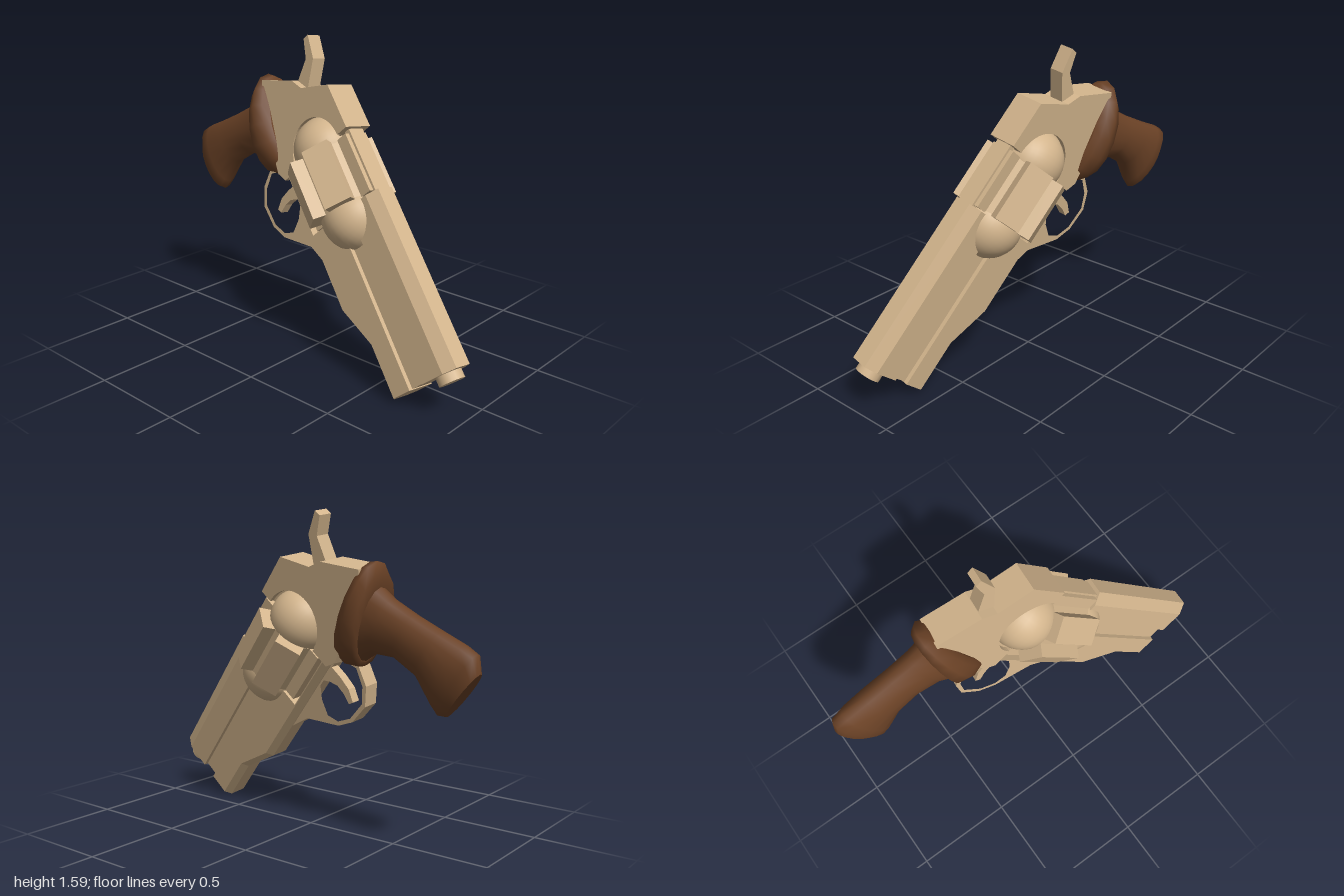
import * as THREE from 'three';

const metal = new THREE.MeshStandardMaterial({ color: 0xd2b48c });
metal.name = 'tan metal';
const wood = new THREE.MeshStandardMaterial({ color: 0x6b4226 });
wood.name = 'brown wood';

// Local frame: x across, y up, z along the barrel.
// Converts tilted side coordinates (z, y) to local [along, up].
const at = (z, y) => [0.657 * z - 0.772 * y, 0.648 * y + 0.762 * z];

// Skin over a list of rings ordered back to front, with end caps.
function loft(rings, flat) {
  const n = rings[0].length, pos = [], idx = [];
  rings.forEach(r => r.forEach(p => pos.push(...p)));
  for (let k = 0; k < rings.length - 1; k++) {
    for (let i = 0; i < n; i++) {
      const a = k * n + i, b = k * n + (i + 1) % n;
      idx.push(a, b, b + n, a, b + n, a + n);
    }
  }
  [[rings[0], true], [rings[rings.length - 1], false]].forEach(([ring, back]) => {
    const start = pos.length / 3;
    ring.forEach(p => pos.push(...p));
    for (let i = 1; i < n - 1; i++) {
      if (back) idx.push(start, start + i + 1, start + i);
      else idx.push(start, start + i, start + i + 1);
    }
  });
  let g = new THREE.BufferGeometry();
  g.setAttribute('position', new THREE.Float32BufferAttribute(pos, 3));
  g.setIndex(idx);
  if (flat) g = g.toNonIndexed();
  g.computeVertexNormals();
  return g;
}

const shapeOf = pts => new THREE.Shape(pts.map(p => new THREE.Vector2(p[0], p[1])));

// Side profile [along, up] extruded across the model.
function slab(shape, width) {
  const g = new THREE.ExtrudeGeometry(shape, { depth: width, bevelEnabled: false, curveSegments: 16 });
  g.translate(0, 0, -width / 2);
  g.rotateY(-Math.PI / 2);
  return g;
}

export function createModel() {
  const model = new THREE.Group();
  model.name = 'revolver';
  const body = new THREE.Group();
  body.name = 'tiltedBody';
  model.add(body);

  const add = (name, geometry, material = metal) => {
    const mesh = new THREE.Mesh(geometry, material);
    mesh.name = name;
    body.add(mesh);
    return mesh;
  };
  const box = (name, w, y0, y1, z0, z1) =>
    add(name, new THREE.BoxGeometry(w, y1 - y0, z1 - z0)
      .translate(0, (y0 + y1) / 2, (z0 + z1) / 2));

  // Barrel with chamfered top
  const W = 0.077, N = 0.045;
  const barrelRing = z => [
    [W, 0.747, z], [W, 0.885, z], [N, 0.947, z], [-N, 0.947, z], [-W, 0.885, z], [-W, 0.747, z]];
  add('barrel', loft([barrelRing(-0.455), barrelRing(0.424)], true));
  box('barrelGroove', 0.11, 0.65, 0.76, -0.455, 0.42);
  add('muzzle', new THREE.CylinderGeometry(0.062, 0.062, 0.1, 16)
    .rotateX(Math.PI / 2).translate(0, 0.85, 0.416));

  // Underlug and lower rail: along, bottom, top
  const railRing = ([z, b, t]) => [
    [N, b, z], [W, b + 0.03, z], [W, t, z], [-W, t, z], [-W, b + 0.03, z], [-N, b, z]];
  add('underlug', loft([
    [-0.83, 0.42, 0.455], [-0.455, 0.42, 0.455], [-0.455, 0.42, 0.66], [-0.057, 0.42, 0.66],
    [0.158, 0.515, 0.66], [0.424, 0.515, 0.66]].map(railRing), true));

  // Rear frame with a round recess behind the cylinder
  const frame = shapeOf([[-0.785, 0.947], [-1.02, 0.945], [-1.11, 0.775], [-1.18, 0.735],
    [-1.31, 0.54], [-1.2, 0.46], [-0.84, 0.39], [-0.785, 0.42]]);
  frame.lineTo(-0.785, 0.525);
  frame.absarc(-0.785, 0.7, 0.175, -Math.PI / 2, -Math.PI * 1.5, true);
  add('rearFrame', slab(frame, 0.16));
  box('recessPlate', 0.11, 0.51, 0.89, -0.98, -0.785);
  box('topStrap', 0.09, 0.895, 0.927, -0.8, -0.44);

  // Cylinder with six square lobes
  const lobes = [];
  for (let i = 0; i < 6; i++) {
    const a = Math.PI / 6 + i * Math.PI / 3, c = Math.cos(a), s = Math.sin(a);
    [[0.15, -0.068], [0.215, -0.068], [0.215, 0.068], [0.15, 0.068]].forEach(([r, w]) =>
      lobes.push([r * c - w * s, r * s + w * c]));
  }
  add('flutedCylinder', new THREE.ExtrudeGeometry(shapeOf(lobes), { depth: 0.305, bevelEnabled: false })
    .translate(0, 0.7, -0.768));

  // Round bulges in front of and behind the cylinder
  [['frontBulge', -0.43], ['rearBulge', -0.8]].forEach(([name, z]) =>
    add(name, new THREE.SphereGeometry(0.168, 32, 20).translate(0, 0.702, z)));

  // Trigger guard and trigger
  const guard = shapeOf([[-0.311, 0.44], [-0.311, 0.42], [-0.427, 0.373], [-0.56, 0.21], [-0.645, 0.16],
    [-0.771, 0.15], [-0.86, 0.205], [-0.91, 0.3], [-0.88, 0.44]]);
  guard.holes.push(shapeOf([[-0.551, 0.287], [-0.577, 0.224], [-0.65, 0.18], [-0.77, 0.172],
    [-0.842, 0.221], [-0.888, 0.3], [-0.862, 0.372], [-0.804, 0.41], [-0.642, 0.41], [-0.588, 0.36]]));
  add('triggerGuard', slab(guard, 0.08));
  add('trigger', slab(shapeOf([[-0.655, 0.43], [-0.76, 0.43], [-0.76, 0.35], [-0.75, 0.28], [-0.715, 0.222],
    [-0.69, 0.235], [-0.707, 0.29], [-0.71, 0.34], [-0.69, 0.385]]), 0.045));

  // Bent hammer
  add('hammer', slab(shapeOf([[-0.147, 1.592], [-0.175, 1.57], [-0.147, 1.475], [-0.196, 1.35],
    [-0.21, 1.29], [-0.12, 1.29], [-0.094, 1.484]].map(p => at(...p))), 0.078));

  // Grip and collar: top z, top y, bottom z, bottom y, half width
  const gripRing = ([tz, ty, bz, by, w]) => {
    const [ts, tu] = at(tz, ty), [bs, bu] = at(bz, by), ring = [];
    for (let i = 0; i < 16; i++) {
      const a = i * Math.PI / 8, k = Math.sin(a) / 2;
      ring.push([w * Math.cos(a), (tu + bu) / 2 + (tu - bu) * k, (ts + bs) / 2 + (ts - bs) * k]);
    }
    return ring;
  };
  add('grip', loft([
    [-0.999, 0.9, -0.82, 0.685, 0.055],
    [-0.988, 0.985, -0.78, 0.685, 0.078],
    [-0.93, 1.019, -0.748, 0.73, 0.086],
    [-0.812, 1.067, -0.673, 0.858, 0.086],
    [-0.673, 1.13, -0.555, 0.928, 0.083],
    [-0.55, 1.195, -0.437, 0.933, 0.088],
    [-0.485, 1.245, -0.367, 0.89, 0.1]].map(gripRing)), wood);
  add('gripCollar', loft([
    [-0.48, 1.24, -0.367, 0.885, 0.1],
    [-0.497, 1.31, -0.355, 0.86, 0.14],
    [-0.475, 1.362, -0.275, 0.865, 0.152],
    [-0.43, 1.358, -0.225, 0.9, 0.128],
    [-0.385, 1.29, -0.23, 0.95, 0.09]].map(gripRing)), wood);

  // Tilt the whole body muzzle-down with a slight turn
  const up = new THREE.Vector3(0, 0.648, 0.762).normalize();
  const forward = new THREE.Vector3(-0.162, -0.752, 0.64).normalize();
  const across = new THREE.Vector3().crossVectors(up, forward).normalize();
  forward.crossVectors(across, up);
  body.quaternion.setFromRotationMatrix(new THREE.Matrix4().makeBasis(across, up, forward));
  body.position.x = -0.1;
  return model;
}
